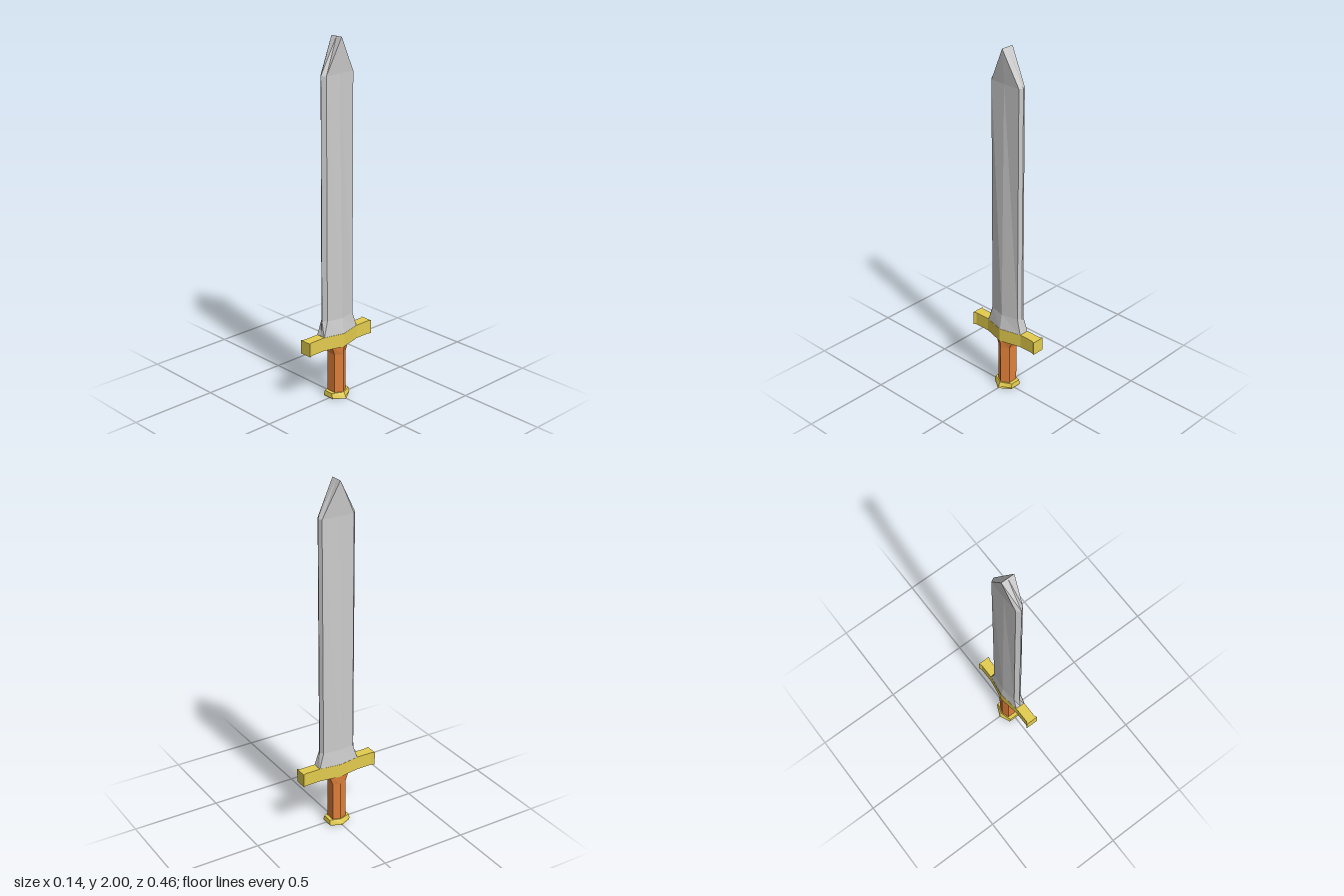
import * as THREE from 'three';

const material = (color) => new THREE.MeshStandardMaterial({ color, flatShading: true });

// One eight-point section: side ridges at z = 0, flat ends and an optional point in each end.
function section({ y, left, right, flatL = -0.037, flatR = 0.02, front, back, pointF = front, pointB = back }) {
  const mid = (flatL + flatR) / 2;
  return [
    [right, 0], [flatR, front], [mid, pointF], [flatL, front],
    [left, 0], [flatL, -back], [mid, -pointB], [flatR, -back],
  ].map(([x, z]) => [x, y, z]);
}

// Skin a list of sections, ordered from bottom to top, and close both ends.
function loft(sections) {
  const rings = sections.map(section);
  const n = 8;
  const index = [];
  for (let k = 0; k < rings.length - 1; k++) {
    for (let i = 0; i < n; i++) {
      const a = k * n + i;
      const b = k * n + ((i + 1) % n);
      index.push(a, a + n, b + n, a, b + n, b);
    }
  }
  const top = (rings.length - 1) * n;
  for (let i = 1; i < n - 1; i++) {
    index.push(0, i, i + 1, top, top + i + 1, top + i);
  }
  const geometry = new THREE.BufferGeometry();
  geometry.setAttribute('position', new THREE.Float32BufferAttribute(rings.flat(2), 3));
  geometry.setIndex(index);
  const flat = geometry.toNonIndexed();
  flat.computeVertexNormals();
  return flat;
}

export function createModel() {
  const model = new THREE.Group();
  const gold = material(0xe3cc4e);

  const add = (name, geometry, mat) => {
    const mesh = new THREE.Mesh(geometry, mat);
    mesh.name = name;
    model.add(mesh);
    return mesh;
  };

  // Blade: broad foot, long taper, then a chisel tip that flares sideways
  add('blade', loft([
    { y: 0.38, left: -0.055, right: 0.052, front: 0.118, back: 0.125 },
    { y: 0.47, left: -0.044, right: 0.036, flatL: -0.032, flatR: 0.015, front: 0.09, back: 0.097, pointF: 0.108, pointB: 0.108 },
    { y: 1.81, left: -0.032, right: 0.016, flatL: -0.03, flatR: 0.013, front: 0.09, back: 0.098, pointF: 0.109, pointB: 0.109 },
    { y: 2, left: -0.045, right: 0.03, flatL: -0.045, flatR: 0.03, front: 0, back: 0 },
  ]), material(0xcccccc));

  // Crossguard: bar with a widened middle and flared ends
  const outline = [
    [0.053, 0], [0.02, 0.12], [0.02, 0.212], [0.028, 0.228],
    [-0.045, 0.228], [-0.037, 0.212], [-0.037, 0.12], [-0.056, 0],
    [-0.037, -0.125], [-0.037, -0.212], [-0.045, -0.229],
    [0.028, -0.229], [0.02, -0.212], [0.02, -0.125],
  ];
  const guardShape = new THREE.Shape(outline.map(([x, z]) => new THREE.Vector2(x, z)));
  const guard = new THREE.ExtrudeGeometry(guardShape, { depth: 0.077, bevelEnabled: false });
  guard.rotateX(Math.PI / 2);
  add('crossguard', guard, gold).position.y = 0.385;

  // Grip: six-sided handle spreading under the guard
  add('grip', loft([
    { y: 0.02, left: -0.051, right: 0.046, front: 0.042, back: 0.042 },
    { y: 0.26, left: -0.051, right: 0.046, front: 0.042, back: 0.042 },
    { y: 0.31, left: -0.053, right: 0.05, front: 0.06, back: 0.06 },
  ]), material(0xe0803a));

  // Pommel: six-sided cap widening toward the bottom
  add('pommel', loft([
    { y: 0, left: -0.07, right: 0.068, flatL: -0.042, flatR: 0.026, front: 0.062, back: 0.062 },
    { y: 0.01, left: -0.067, right: 0.063, flatL: -0.042, flatR: 0.026, front: 0.065, back: 0.065 },
    { y: 0.032, left: -0.056, right: 0.051, front: 0.062, back: 0.062 },
  ]), gold);

  return model;
}
